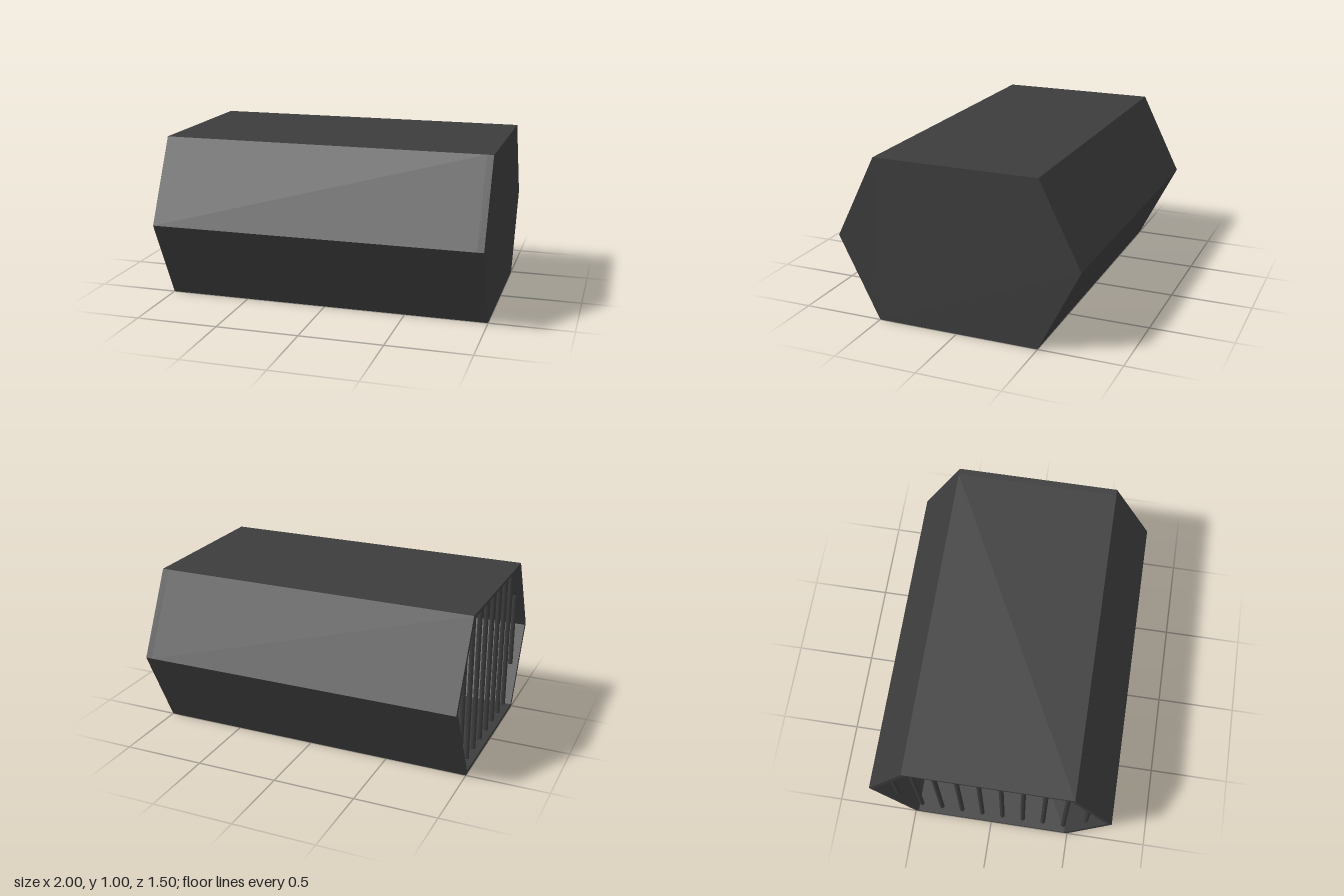
import * as THREE from 'three';

const HALF_WIDTH = 0.75, HALF_HEIGHT = 0.5, INNER = 0.96, CAP = 0.04;

// Hexagon cross-section, scaled about its centre
function hexPoints(scale) {
  return [[0.75, 0], [0.5, 0.5], [-0.5, 0.5], [-0.75, 0], [-0.5, -0.5], [0.5, -0.5]]
    .map(([u, v]) => new THREE.Vector2(u * scale, v * scale));
}

// Extrude a cross-section along x, starting at x0
function prism(shape, x0, length) {
  const geo = new THREE.ExtrudeGeometry(shape, { depth: length, bevelEnabled: false });
  geo.rotateY(Math.PI / 2);
  geo.translate(x0, 0.5, 0);
  return geo;
}

export function createModel() {
  const group = new THREE.Group();
  const darkGrey = new THREE.MeshStandardMaterial({ color: 0x3c3c3c });
  darkGrey.name = 'darkGrey';

  const add = (geo, name) => {
    const mesh = new THREE.Mesh(geo, darkGrey);
    mesh.name = name;
    group.add(mesh);
    return mesh;
  };

  // Hollow hexagonal casing, open at -x
  const ring = new THREE.Shape(hexPoints(1));
  ring.holes.push(new THREE.Path(hexPoints(INNER).reverse()));
  add(prism(ring, -1, 2 - CAP), 'casing');

  // Closed end wall
  add(prism(new THREE.Shape(hexPoints(1)), 1 - CAP, CAP), 'endWall');

  // Row of upright grille bars just inside the open end, fitted to the inner wall
  const count = 10;
  for (let i = 0; i < count; i++) {
    const z = -0.6 + (1.2 * i) / (count - 1);
    const half = Math.min(HALF_HEIGHT * INNER, 2 * (HALF_WIDTH * INNER - Math.abs(z)));
    const bar = add(new THREE.CylinderGeometry(0.015, 0.015, half * 2, 12), 'grilleBar' + (i + 1));
    bar.position.set(-0.95, 0.5, z);
  }

  return group;
}
